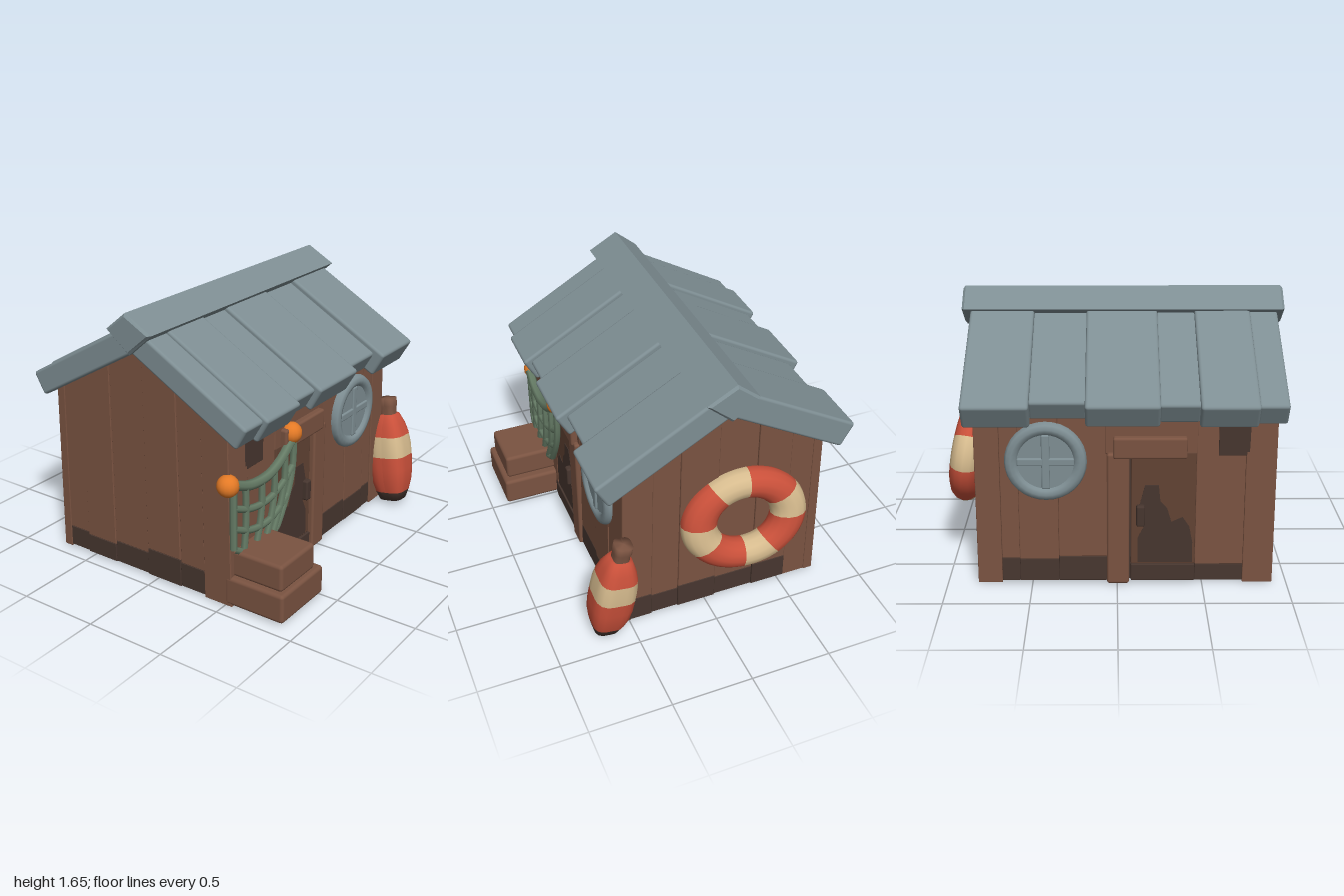
import * as THREE from 'three';
import { RoundedBoxGeometry } from 'three/addons/geometries/RoundedBoxGeometry.js';

const mat = (name, color) => {
  const m = new THREE.MeshStandardMaterial({ color });
  m.name = name;
  return m;
};

const CX = -0.1;                 // centre line of the hut
const SLOPE = Math.atan(0.57);   // roof pitch

export function createModel() {
  const wood = mat('wood', 0x7a5341);
  const doorWood = mat('doorWood', 0x624334);
  const dark = mat('darkWood', 0x47362f);
  const slate = mat('slate', 0x7e8e93);
  const red = mat('red', 0xc9503a);
  const cream = mat('cream', 0xd6bb8e);
  const orange = mat('orange', 0xe47a26);
  const green = mat('green', 0x667c66);

  const model = new THREE.Group();
  model.name = 'fishingHut';
  const group = (name, parent = model) => {
    const g = new THREE.Group();
    g.name = name;
    parent.add(g);
    return g;
  };
  const add = (parent, name, geo, material) => {
    const m = new THREE.Mesh(geo, material);
    m.name = name;
    parent.add(m);
    return m;
  };
  // Rounded box given by its limits
  const block = (parent, name, x, y, z, material, r = 0.015) => {
    const g = new RoundedBoxGeometry(x[1] - x[0], y[1] - y[0], z[1] - z[0], 2, r);
    g.translate((x[0] + x[1]) / 2, (y[0] + y[1]) / 2, (z[0] + z[1]) / 2);
    return add(parent, name, g, material);
  };
  // Walls lean in slightly towards the top
  const taper = (geo) => {
    const p = geo.attributes.position;
    for (let i = 0; i < p.count; i++) {
      p.setX(i, CX + (p.getX(i) - CX) * (1 - 0.03 * p.getY(i)));
    }
    geo.computeVertexNormals();
    return geo;
  };
  const extrude = (pts, depth, bevel) => new THREE.ExtrudeGeometry(
    new THREE.Shape(pts.map(([x, y]) => new THREE.Vector2(x, y))),
    { depth: depth - 2 * bevel, bevelEnabled: bevel > 0, bevelSize: bevel, bevelThickness: bevel,
      bevelOffset: -bevel, bevelSegments: 1 }).translate(0, 0, bevel);
  const lathe = (pts, segments) => new THREE.LatheGeometry(pts.map(([r, y]) => new THREE.Vector2(r, y)), segments);
  const gableY = (x) => 1.48 - 0.59 * Math.abs(x - CX);

  // Gable outline between two x positions
  const gable = (x0, x1, y0) => {
    const pts = [[x0, y0], [x1, y0], [x1, gableY(x1)]];
    if (x0 < CX && x1 > CX) pts.push([CX, gableY(CX)]);
    pts.push([x0, gableY(x0)]);
    return pts;
  };

  // Solid core, which also closes the floor
  const walls = group('walls');
  add(walls, 'core', taper(extrude(gable(-0.725, 0.525, 0.02), 1.68, 0).translate(0, 0, -0.79)), dark);

  // Front and back planks: x0, x1, height of the dark foot
  const gablePlanks = [
    [-0.745, -0.541, 0.145], [-0.541, -0.318, 0.135], [-0.318, -0.062, 0.155],
    [-0.062, 0.183, 0.19], [0.183, 0.358, 0.17], [0.358, 0.547, 0],
  ];
  gablePlanks.forEach(([x0, x1, foot], i) => {
    for (const front of [true, false]) {
      const f = front ? foot : (i === 0 ? 0 : 0.16 + 0.02 * (i % 2));
      const t = 0.045 + 0.008 * (i % 2);
      const z = front ? 0.865 : -0.77 - t;
      add(walls, 'gablePlank', taper(extrude(gable(x0, x1, f || 0.005), t, 0.004).translate(0, 0, z)), wood);
      if (f) {
        const pts = [[x0, 0.015], [x1, 0.015], [x1, f], [x0, f]];
        add(walls, 'gableFoot', taper(extrude(pts, t, 0.003).translate(0, 0, z)), dark);
      }
    }
  });

  // Side planks: z0, z1, height of the dark foot, distance from centre line
  const sidePlanks = [
    [0.738, 0.915, 0, 0.648], [0.455, 0.738, 0.12, 0.642], [-0.342, -0.06, 0.17, 0.642],
    [-0.572, -0.342, 0.155, 0.646], [-0.677, -0.572, 0.16, 0.642], [-0.82, -0.677, 0, 0.65],
  ];
  for (const s of [1, -1]) {
    const side = group(s > 0 ? 'leftSide' : 'rightSide');
    const xr = (a, b) => (s > 0 ? [CX + a, CX + b] : [CX - b, CX - a]);
    for (const [z0, z1, foot, d] of sidePlanks) {
      taper(block(side, 'sidePlank', xr(0.59, d), [foot || 0.005, 1.1], [z0, z1], wood, 0.005).geometry);
      if (foot) taper(block(side, 'sideFoot', xr(0.59, d), [0.015, foot], [z0, z1], dark, 0.004).geometry);
    }
    // Dark weathered board under the eaves
    block(side, 'weatheredBoard', xr(0.615, 0.632), [0.8, 1.06], [0.58, 0.76], dark, 0.004);

    // Door with a worn patch, frame and handle
    block(side, 'doorPanel', xr(0.59, 0.635), [0.12, 0.82], [0.08, 0.455], doorWood, 0.006);
    block(side, 'doorSill', xr(0.59, 0.646), [0.015, 0.12], [0.08, 0.455], dark, 0.006);
    block(side, 'overDoor', xr(0.59, 0.63), [0.81, 1.1], [-0.07, 0.46], wood, 0.006);
    const patch = [
      [0.24, 0.62], [0.16, 0.62], [0.13, 0.5], [0.16, 0.37], [0.12, 0.29], [0.12, 0.13], [0.44, 0.13],
      [0.44, 0.26], [0.42, 0.36], [0.38, 0.42], [0.315, 0.39], [0.29, 0.475], [0.25, 0.52],
    ];
    // Turned so the outline's x runs along +z
    add(side, 'wornPatch', extrude(patch, 0.006, 0).rotateY(-Math.PI / 2).translate(CX + s * 0.635 + 0.003, 0, 0), dark);
    block(side, 'doorPost', xr(0.58, 0.66), [0, 0.82], [-0.06, 0.07], wood);
    block(side, 'lintel', xr(0.58, 0.67), [0.79, 0.92], [-0.025, 0.4], wood);
    block(side, 'doorHandle', xr(0.62, 0.67), [0.37, 0.5], [0.11, 0.16], dark, 0.012);

    // Round window: broad ring, pane and cross
    const win = group('roundWindow', side);
    win.position.set(CX + s * 0.62, 0.77, -0.41);
    win.rotation.z = -s * Math.PI / 2;
    const ring = [[0.235, -0.01], [0.237, 0.025], [0.225, 0.045], [0.2, 0.053], [0.175, 0.047], [0.16, 0.025]];
    add(win, 'windowRing', lathe(ring, 32), slate);
    add(win, 'windowPane', new THREE.CylinderGeometry(0.17, 0.17, 0.035, 32), slate).position.y = 0.0125;
    block(win, 'windowBar', [-0.165, 0.165], [0.01, 0.043], [-0.024, 0.024], slate, 0.01);
    block(win, 'windowBar', [-0.024, 0.024], [0.01, 0.042], [-0.165, 0.165], slate, 0.01);
  }

  // Roof planks: z0, z1, length down the slope, drop below the top layer
  const roof = group('roof');
  const roofPlanks = [
    [-0.87, -0.49, 0.93, 0], [-0.5, -0.17, 0.865, 0.03], [-0.18, 0.24, 0.925, 0],
    [0.23, 0.47, 0.89, 0.025], [0.46, 0.79, 0.93, 0], [0.78, 0.955, 0.905, 0.018],
  ];
  for (const s of [1, -1]) {
    const half = group(s > 0 ? 'leftRoof' : 'rightRoof', roof);
    half.position.set(CX, 1.605, 0);
    half.rotation.z = -s * SLOPE;
    for (const [z0, z1, len, drop] of roofPlanks) {
      const x = s > 0 ? [0.06, len] : [-len, -0.06];
      block(half, 'roofPlank', x, [-0.168, -drop], [z0, z1], slate, 0.018);
    }
  }
  // Ridge beam with a skewed four-sided section
  const ridge = [[-0.25, 1.54], [-0.09, 1.415], [0.07, 1.555], [-0.11, 1.655]];
  add(roof, 'ridgeBeam', extrude(ridge, 1.915, 0.015).translate(0, 0, -0.92), slate);

  // Two stacked crates used as steps
  const steps = group('steps');
  block(steps, 'lowerStep', [0.5, 0.895], [0.015, 0.195], [0.49, 0.92], wood, 0.022);
  block(steps, 'upperStep', [0.5, 0.865], [0.19, 0.355], [0.54, 0.885], wood, 0.022);

  // Hanging net between two floats
  const net = group('net');
  const curve = (pts) => new THREE.CatmullRomCurve3(pts.map(([z, y]) => new THREE.Vector3(0.56, y, z)));
  const topLine = curve([[0.91, 0.78], [0.78, 0.73], [0.6, 0.72], [0.45, 0.77], [0.31, 0.86]]);
  const lowLine = curve([[0.91, 0.38], [0.8, 0.34], [0.68, 0.32], [0.57, 0.32], [0.47, 0.34]]);
  const netPoint = (u, v) => {
    const p = topLine.getPoint(u).lerp(lowLine.getPoint(u), v);
    p.z -= 0.06 * u * Math.sin(Math.PI * v);
    p.y -= 0.03 * Math.sin(Math.PI * u) * v;
    p.x += 0.015 * Math.sin(Math.PI * u);
    return p;
  };
  const strand = (f, r) => {
    const pts = Array.from({ length: 9 }, (_, i) => f(i / 8));
    add(net, 'netRope', new THREE.TubeGeometry(new THREE.CatmullRomCurve3(pts), 24, r, 6), green);
  };
  for (const v of [0, 0.36, 0.68, 1]) strand((t) => netPoint(t, v), v ? 0.021 : 0.03);
  for (const u of [0, 0.2, 0.42, 0.62, 0.82, 1]) strand((t) => netPoint(u, t), 0.022);
  for (const [x, y, z] of [[0.53, 0.77, 0.92], [0.55, 0.88, 0.32]]) {
    add(net, 'netFloat', new THREE.SphereGeometry(0.065, 16, 12), orange).position.set(x, y, z);
  }

  // Striped float with a squarish section, leaning on the back corner
  const buoy = group('stripedFloat');
  buoy.position.set(0.66, 0.02, -0.815);
  buoy.rotation.set(-0.09, 0, 0.16);
  const bands = [
    [dark, [[0, 0], [0.075, 0], [0.098, 0.06]]],
    [red, [[0.098, 0.06], [0.118, 0.14], [0.125, 0.22], [0.126, 0.31]]],
    [cream, [[0.126, 0.31], [0.124, 0.38], [0.115, 0.45]]],
    [red, [[0.115, 0.45], [0.096, 0.52], [0.064, 0.59], [0, 0.6]]],
    [wood, [[0.05, 0.57], [0.048, 0.63], [0.054, 0.65], [0.052, 0.7], [0, 0.705]]],
  ];
  for (const [m, pts] of bands) {
    const g = lathe(pts, 24);
    const p = g.attributes.position;
    for (let i = 0; i < p.count; i++) {
      const a = Math.atan2(p.getZ(i), p.getX(i));
      const k = 1 + 0.17 * Math.sin(2 * a) ** 2;
      p.setXYZ(i, p.getX(i) * k, p.getY(i), p.getZ(i) * k);
    }
    g.computeVertexNormals();
    add(buoy, 'floatBand', g, m);
  }

  // Broad life ring leaning on the back wall
  const lifeRing = group('lifeRing');
  lifeRing.position.set(-0.205, 0.665, -0.88);
  lifeRing.rotation.set(0.15, -0.08, 0);
  lifeRing.scale.set(1.03, 0.88, 0.85);
  const creamArc = 0.65;
  for (let i = 0; i < 4; i++) {
    const a = i * Math.PI / 2 - 0.25 - creamArc / 2;
    const parts = [[a, creamArc, cream], [a + creamArc, Math.PI / 2 - creamArc, red]];
    for (const [start, arc, m] of parts) {
      add(lifeRing, 'ringSegment', new THREE.TorusGeometry(0.272, 0.108, 14, 10, arc).rotateZ(start), m);
    }
  }
  return model;
}
